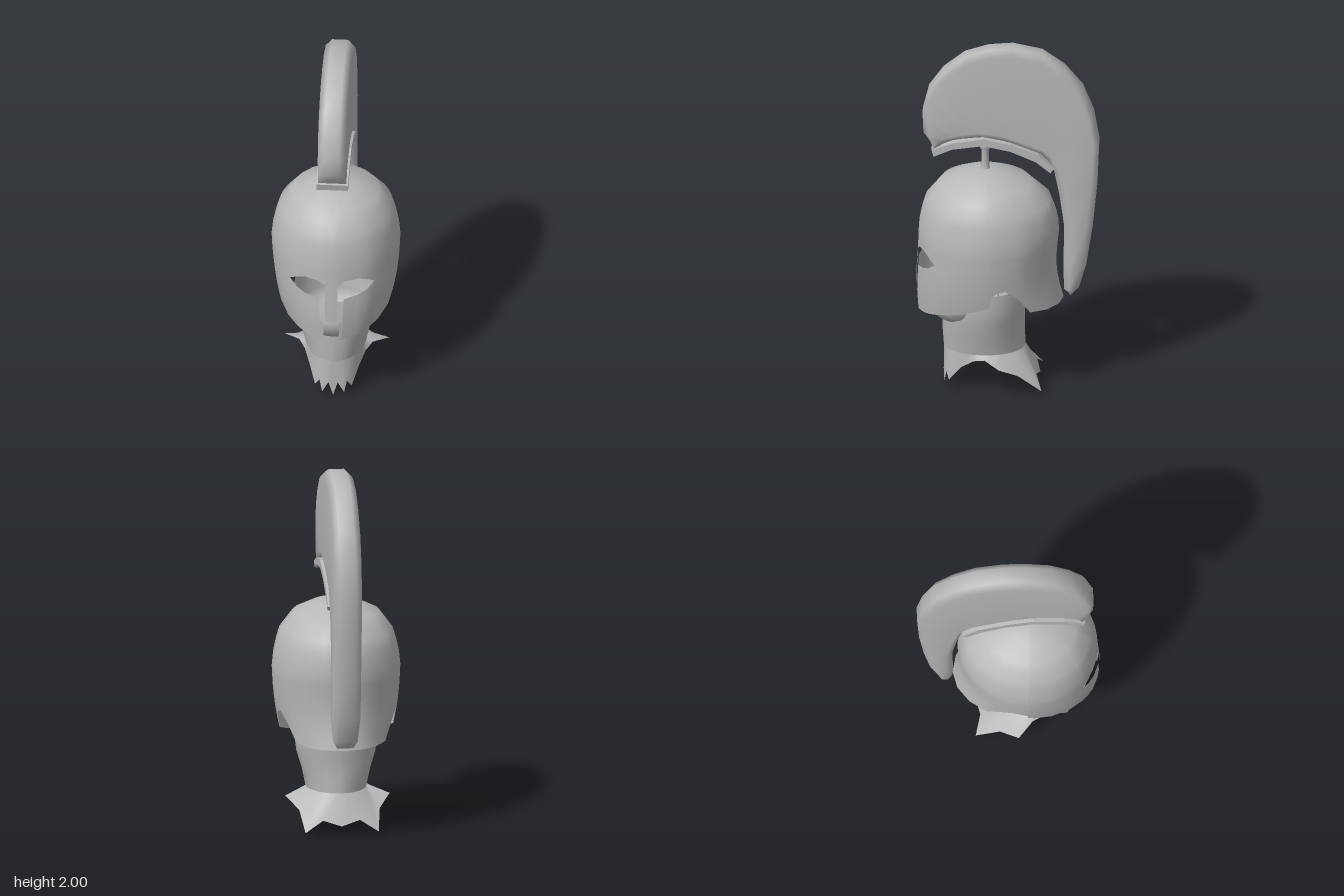
import * as THREE from 'three';
import { mergeVertices } from 'three/addons/utils/BufferGeometryUtils.js';

const CZ = 0.12; // helmet and neck axis in z
const lerp = THREE.MathUtils.lerp;

// Smooth indexed geometry from a flat list of triangle corners
function smooth(points) {
  const g = new THREE.BufferGeometry();
  g.setAttribute('position', new THREE.Float32BufferAttribute(points.flat(), 3));
  const m = mergeVertices(g, 1e-4);
  m.computeVertexNormals();
  return m;
}

// Skin between rings of points, optionally capped at both ends
function loft(rings, capped) {
  const out = [], n = rings[0].length;
  for (let r = 0; r < rings.length - 1; r++) {
    for (let i = 0; i < n; i++) {
      const j = (i + 1) % n, a = rings[r], b = rings[r + 1];
      out.push(a[i], a[j], b[j], a[i], b[j], b[i]);
    }
  }
  if (capped) {
    const s = rings[0], e = rings[rings.length - 1];
    for (let i = 1; i < n - 1; i++) out.push(s[0], s[i + 1], s[i], e[0], e[i], e[i + 1]);
  }
  return smooth(out);
}

// Helmet profile: height, half width, front z, back z
const PROFILE = [
  [0.44, 0.27, 0.485, -0.31], [0.52, 0.3, 0.49, -0.305], [0.6, 0.318, 0.495, -0.28],
  [0.7, 0.335, 0.492, -0.265], [0.8, 0.345, 0.485, -0.27], [0.9, 0.35, 0.482, -0.28],
  [1.0, 0.34, 0.475, -0.278], [1.1, 0.31, 0.445, -0.24], [1.2, 0.235, 0.365, -0.13],
  [1.25, 0.13, 0.26, 0], [1.28, 0, CZ, CZ],
];
function helmetPoint(a, y) {
  let k = 0;
  while (k < PROFILE.length - 2 && PROFILE[k + 1][0] < y) k++;
  const p = PROFILE[k], q = PROFILE[k + 1], t = (y - p[0]) / (q[0] - p[0]);
  const [w, f, b] = [1, 2, 3].map((c) => lerp(p[c], q[c], t));
  const c = Math.cos(a);
  return [w * Math.sin(a), y, CZ + c * (c > 0 ? f - CZ : CZ - b)];
}

// Mirrored shell from columns of [angle, list of heights]; equal angles make a step
function shell(columns) {
  const out = [];
  const flip = ([x, y, z]) => [-x, y, z];
  for (let i = 0; i < columns.length - 1; i++) {
    const [a0, h0] = columns[i], [a1, h1] = columns[i + 1];
    if (a0 === a1) continue;
    for (let r = 0; r < h0.length - 1; r++) {
      const p = helmetPoint(a0, h0[r]), q = helmetPoint(a1, h1[r]);
      const s = helmetPoint(a1, h1[r + 1]), t = helmetPoint(a0, h0[r + 1]);
      out.push(p, q, s, p, s, t);
      out.push(...[p, s, q, p, t, s].map(flip));
    }
  }
  return out;
}

function helmetGeometry() {
  const sides = [1.0, 1.3, 1.55, 1.65, 1.651, 1.73, 1.87, 2.05, 2.2, 2.5, 2.82, Math.PI];
  // Brow edge with the nose guard hanging from it, then the dome
  const brow = [[0, 0.58], [0.1, 0.58], [0.1, 0.805], [0.2, 0.83], [0.44, 0.838], [0.6, 0.815],
    [0.736, 0.79], ...sides.map((a) => [a, 0.79])];
  const dome = [0.9, 0.97, 1.04, 1.1, 1.155, 1.2, 1.25, 1.28];
  const upper = brow.map(([a, b]) => [a, [b, lerp(b, 0.9, 0.33), lerp(b, 0.9, 0.67), ...dome]]);
  // Cheek guards, ear notches and neck guard
  const hem = (a) => 0.45 + 0.12 * (1 - Math.cos(a)) * 0.9;
  const notch = [0.57, 0.63, 0.66, 0.675, 0.62, 0.52, 0.51, 0.51, 0.51];
  const cheek = [[0.143, 0.57], [0.2, 0.57], [0.2, 0.72], [0.44, 0.735], [0.6, 0.755], [0.736, 0.79]]
    .map(([a, t]) => [a, t, hem(a)]);
  sides.forEach((a, i) => cheek.push([a, 0.79, i < 3 ? hem(a) : notch[i - 3]]));
  const lower = cheek.map(([a, t, b]) => [a, [0, 0.25, 0.5, 0.75, 1].map((k) => lerp(b, t, k))]);
  return smooth([...shell(upper), ...shell(lower)]);
}

// Plume stations: outer z, y and inner z, y
const PLUME = [
  [0.405, 1.425, 0.395, 1.41], [0.455, 1.5, 0.34, 1.44], [0.46, 1.61, 0.3, 1.455],
  [0.425, 1.75, 0.25, 1.465], [0.345, 1.86, 0.2, 1.47], [0.23, 1.95, 0.16, 1.475],
  [0.1, 1.99, 0.1, 1.47], [-0.03, 2, 0.02, 1.455], [-0.19, 1.965, -0.04, 1.435],
  [-0.31, 1.88, -0.1, 1.41], [-0.41, 1.76, -0.18, 1.38], [-0.47, 1.61, -0.22, 1.34],
  [-0.5, 1.44, -0.255, 1.28], [-0.49, 1.2, -0.285, 1.13], [-0.465, 0.95, -0.31, 0.95],
  [-0.43, 0.72, -0.305, 0.7], [-0.39, 0.58, -0.31, 0.57], [-0.347, 0.535, -0.338, 0.54],
];
function plumeGeometry() {
  const rings = PLUME.map(([oz, oy, iz, iy], k) => {
    const inset = Math.min(0.3, 0.035 / Math.hypot(oz - iz, oy - iy));
    const w = k === PLUME.length - 1 ? 0.6 : k === PLUME.length - 2 ? 0.85 : 1;
    const half = [[0.042, 0], [0.077, inset], [0.077, 1 - inset], [0.05, 1]];
    const at = (s) => ([x, t]) => [s * x * w, lerp(oy, iy, t), lerp(oz, iz, t)];
    return [...half.map(at(1)), ...half.map(at(-1)).reverse()];
  });
  return loft(rings, true);
}

// Curved holder under the plume
function holderGeometry() {
  const top = [[0.41, 1.412], [0.3, 1.452], [0.13, 1.478], [-0.02, 1.445], [-0.17, 1.385], [-0.255, 1.305]];
  const under = [[-0.235, 1.28], [-0.155, 1.345], [-0.02, 1.405], [0.13, 1.438], [0.3, 1.415], [0.4, 1.372]];
  const s = new THREE.Shape([...top, ...under].map(([z, y]) => new THREE.Vector2(-z, y)));
  const g = new THREE.ExtrudeGeometry(s, { depth: 0.172, bevelEnabled: false });
  return g.translate(0, 0, -0.086).rotateY(Math.PI / 2);
}

// Point on the neck at an angle from the front
function neckPoint(a, y, w, front, back) {
  const c = Math.cos(a);
  return [w * Math.sin(a), y, CZ + c * (c > 0 ? front - CZ : CZ - back)];
}

// Torn collar edge, front to back: angle, x, y, z
const COLLAR = [
  [0, 0, 0, 0.34], [0.12, 0.025, 0.085, 0.345], [0.3, 0.06, 0.02, 0.34], [0.42, 0.075, 0.09, 0.33],
  [0.6, 0.1, 0.05, 0.315], [0.85, 0.135, 0.14, 0.25], [1.2, 0.165, 0.19, 0.18], [1.5, 0.2, 0.21, 0.12],
  [1.75, 0.285, 0.19, 0.04], [2.0, 0.22, 0.13, -0.06], [2.35, 0.2, 0.03, -0.19], [2.75, 0.1, 0.09, -0.16],
  [Math.PI, 0, 0.06, -0.18],
];

export function createModel() {
  const group = new THREE.Group();
  const grey = new THREE.MeshStandardMaterial({ color: 0xb8b8b8, side: THREE.DoubleSide });
  grey.name = 'grey';
  const add = (name, geometry) => {
    const mesh = new THREE.Mesh(geometry, grey);
    mesh.name = name;
    group.add(mesh);
    return mesh;
  };

  add('helmet', helmetGeometry());
  add('plume', plumeGeometry());
  add('plumeHolder', holderGeometry());

  // Post between dome and plume holder
  const post = [[0.03, 1.265], [0.022, 1.29], [0.02, 1.38], [0.034, 1.4], [0.03, 1.415], [0, 1.418]];
  add('plumePost', new THREE.LatheGeometry(post.map(([r, y]) => new THREE.Vector2(r, y)), 8))
    .position.z = CZ;

  // Neck with the torn collar flaring from its foot
  const mirror = COLLAR.slice(1, -1).reverse().map(([a, x, y, z]) => [-a, -x, y, z]);
  const edge = [...COLLAR, ...mirror];
  const ring = (y, w, f, b) => edge.map(([a]) => neckPoint(a, y, w, f, b));
  const foot = ring(0.225, 0.165, 0.345, -0.1);
  add('collar', loft([edge.map(([, x, y, z]) => [x, y, z]), foot], false));
  add('neck', loft([foot, ring(0.32, 0.185, 0.352, -0.095), ring(0.42, 0.215, 0.355, -0.095),
    ring(0.5, 0.225, 0.35, -0.11), ring(0.6, 0.225, 0.33, -0.11)], false));

  // Chin showing below the cheek guards
  const chin = add('chin', new THREE.SphereGeometry(1, 20, 8, 0, Math.PI * 2, Math.PI / 2, Math.PI / 2));
  chin.scale.set(0.21, 0.155, 0.2);
  chin.position.set(0, 0.52, 0.245);
  return group;
}
